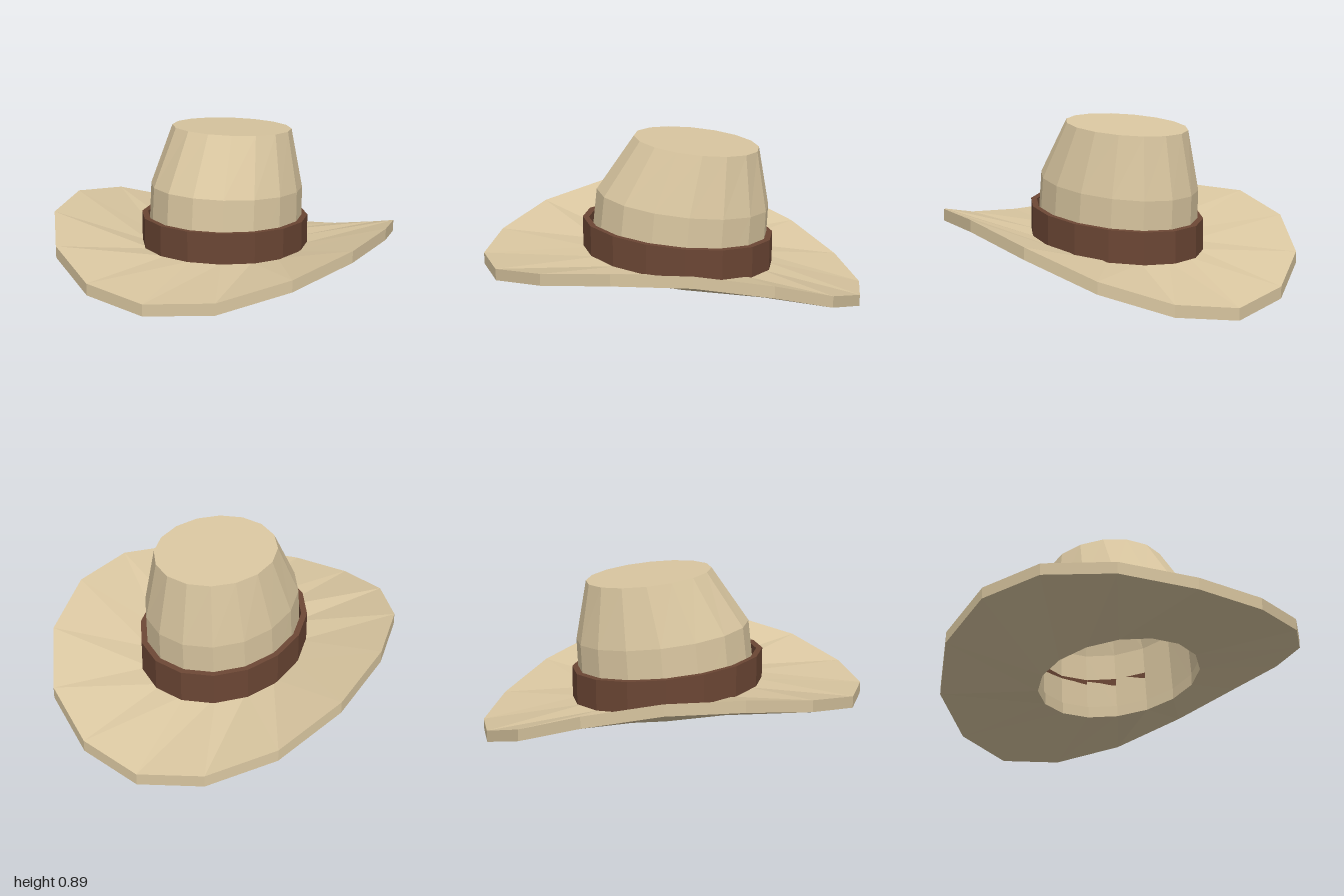
import * as THREE from 'three';

const SIDES = 16;

// An oval ring lying on a plane that tilts up towards the front
function ring(rx, rz, cz, y0, slope) {
  return Array.from({ length: SIDES }, (_, i) => {
    const a = (i / SIDES) * Math.PI * 2;
    const z = cz + rz * Math.cos(a);
    return [rx * Math.sin(a), y0 + slope * z, z];
  });
}

// Flat-shaded skin over successive rings, optionally joined end to start
function loft(rings, closed, color, name) {
  const pos = [];
  const count = closed ? rings.length : rings.length - 1;
  for (let r = 0; r < count; r++) {
    const lo = rings[r], hi = rings[(r + 1) % rings.length];
    for (let j = 0; j < SIDES; j++) {
      const k = (j + 1) % SIDES;
      pos.push(...lo[j], ...lo[k], ...hi[k], ...lo[j], ...hi[k], ...hi[j]);
    }
  }
  const geometry = new THREE.BufferGeometry();
  geometry.setAttribute('position', new THREE.Float32BufferAttribute(pos, 3));
  geometry.computeVertexNormals();
  const material = new THREE.MeshStandardMaterial({ color, flatShading: true, side: THREE.DoubleSide });
  const mesh = new THREE.Mesh(geometry, material);
  mesh.name = name;
  return mesh;
}

export function createModel() {
  const felt = 0xd9c6a0, leather = 0x6b4634;
  const hat = new THREE.Group();
  hat.name = 'hat';

  // Brim: curled up at the sides, dipping at the back; half outline is mirrored
  const half = [ // x, underside y, z from front to back
    [0, 0.215, 1], [0.33, 0.24, 0.92], [0.62, 0.312, 0.69], [0.81, 0.37, 0.36], [0.87, 0.37, -0.02],
    [0.81, 0.288, -0.41], [0.62, 0.157, -0.73], [0.33, 0.048, -0.93], [0, 0, -1],
  ];
  const mirrored = half.slice(1, -1).reverse().map(([x, y, z]) => [-x, y, z]);
  const outerLow = [...half, ...mirrored];
  const outerHigh = outerLow.map(([x, y, z]) => [x, y + 0.06, z]);
  const innerLow = ring(0.39, 0.455, -0.015, 0.185, 0.11);
  const innerHigh = ring(0.39, 0.455, -0.015, 0.245, 0.11);
  hat.add(loft([innerLow, outerLow, outerHigh, innerHigh], true, felt, 'brim'));

  // Crown: hollow, leaning back, with a sloping flat top
  const top = ring(0.31, 0.325, -0.115, 0.867, 0.108);
  hat.add(loft([
    ring(0.394, 0.462, -0.018, 0.215, 0.11),
    ring(0.387, 0.45, -0.045, 0.563, 0.117),
    top,
    ring(0, 0, -0.115, 0.867, 0.108),
  ], false, felt, 'crown'));

  // Band around the base of the crown
  hat.add(loft([
    ring(0.425, 0.5, -0.02, 0.25, 0.11),
    ring(0.425, 0.5, -0.02, 0.411, 0.106),
    ring(0.394, 0.468, -0.02, 0.411, 0.106),
    ring(0.397, 0.468, -0.02, 0.25, 0.11),
  ], true, leather, 'hatBand'));

  return hat;
}
